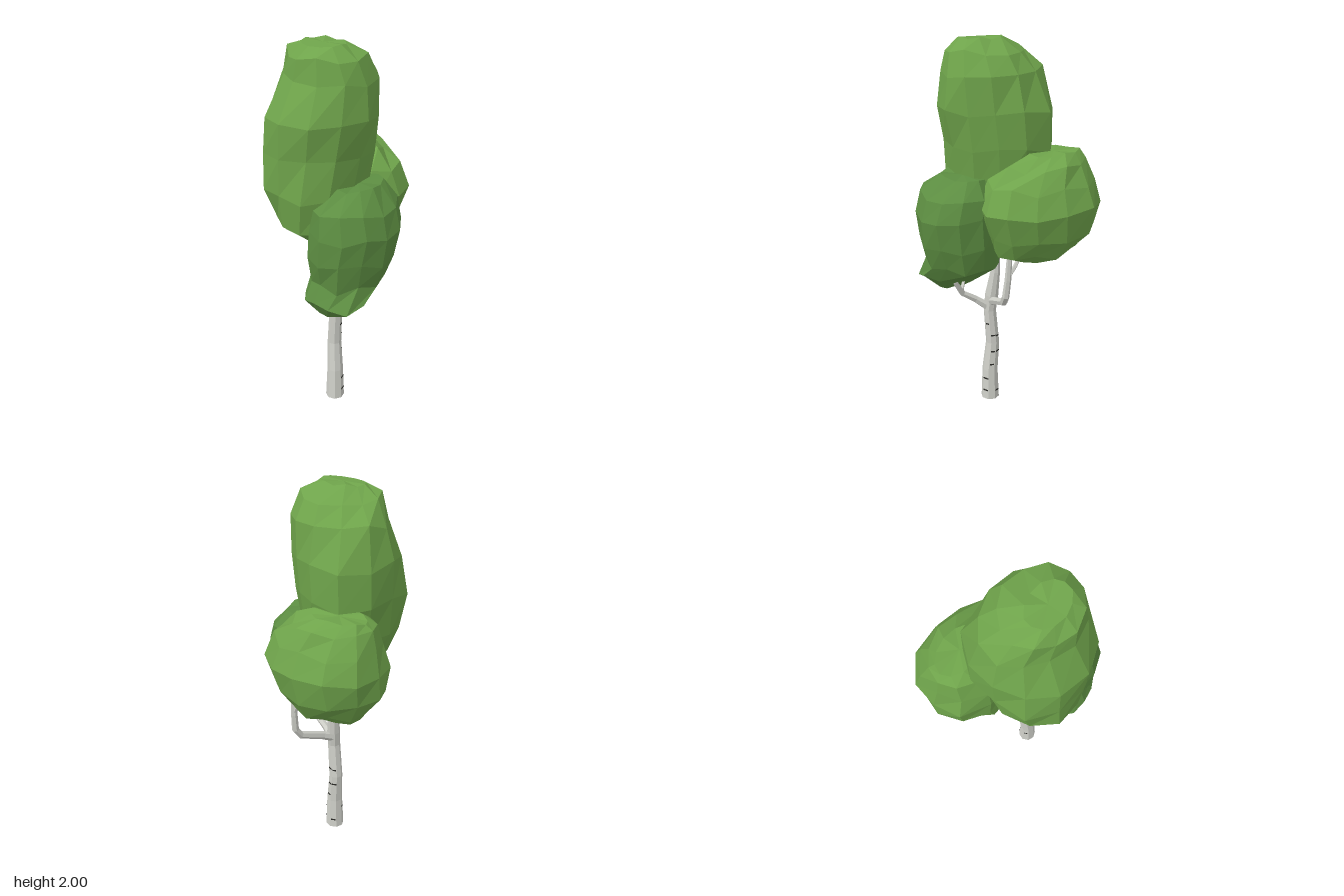
import * as THREE from 'three';

const mat = (name, color) => {
  const m = new THREE.MeshStandardMaterial({ color });
  m.name = name;
  return m;
};

// Small seeded random generator, -1..1
function makeRandom(seed) {
  let s = seed;
  return () => {
    s = (s * 16807) % 2147483647;
    return (s / 2147483647) * 2 - 1;
  };
}

// Closed faceted skin over a stack of rings, capped at both ends
function loft(rings) {
  const pos = [];
  const tri = (a, b, c) => [a, b, c].forEach((p) => pos.push(p.x, p.y, p.z));
  const n = rings[0].length;
  const middle = (ring) =>
    ring.reduce((s, p) => s.add(p), new THREE.Vector3()).divideScalar(n);
  for (let i = 0; i < rings.length - 1; i++) {
    for (let j = 0; j < n; j++) {
      const k = (j + 1) % n;
      const [a, b, c, d] = [rings[i][j], rings[i][k], rings[i + 1][j], rings[i + 1][k]];
      tri(a, c, b);
      tri(b, c, d);
    }
  }
  const low = rings[0], high = rings[rings.length - 1];
  const lowMid = middle(low), highMid = middle(high);
  for (let j = 0; j < n; j++) {
    const k = (j + 1) % n;
    tri(lowMid, low[j], low[k]);
    tri(highMid, high[k], high[j]);
  }
  const g = new THREE.BufferGeometry();
  g.setAttribute('position', new THREE.Float32BufferAttribute(pos, 3));
  g.computeVertexNormals();
  return g;
}

// Leaf mass: rows of [y, xMin, xMax, zMin, zMax], slightly uneven.
// Lumps of [x, y, z, push, reach] swell or dent the skin near a point.
function crown(rows, lumps, seed) {
  const rnd = makeRandom(seed);
  const sides = 12;
  return loft(rows.map(([y, x0, x1, z0, z1], i) => {
    const end = i === 0 || i === rows.length - 1;
    return Array.from({ length: sides }, (_, j) => {
      const a = (j / sides) * Math.PI * 2;
      const f = 1.01 + rnd() * 0.035;
      const out = new THREE.Vector3(Math.cos(a), 0, Math.sin(a));
      const p = new THREE.Vector3(
        (x0 + x1) / 2 + out.x * f * (x1 - x0) / 2,
        y + rnd() * (end ? 0.008 : 0.022),
        (z0 + z1) / 2 + out.z * f * (z1 - z0) / 2
      );
      let push = 0;
      for (const [lx, ly, lz, amount, reach] of lumps) {
        const d = Math.hypot(p.x - lx, p.y - ly, p.z - lz) / reach;
        push += amount * Math.exp(-d * d);
      }
      return p.addScaledVector(out, push);
    });
  }));
}

// Tapered limb through points of [x, y, z, radius]
const UP = new THREE.Vector3(0, 1, 0);
function limb(points, sides) {
  const v = points.map((p) => new THREE.Vector3(p[0], p[1], p[2]));
  return loft(points.map((p, i) => {
    const dir = v[Math.min(i + 1, v.length - 1)].clone().sub(v[Math.max(i - 1, 0)]).normalize();
    if (i === 0 && p[1] === 0) dir.copy(UP);
    const q = new THREE.Quaternion().setFromUnitVectors(UP, dir);
    return Array.from({ length: sides }, (_, j) => {
      const a = (j / sides) * Math.PI * 2;
      return new THREE.Vector3(Math.cos(a) * p[3], 0, Math.sin(a) * p[3]).applyQuaternion(q).add(v[i]);
    });
  }));
}

export function createModel() {
  const group = new THREE.Group();
  const bark = mat('pale bark', 0xd0d1ca);
  const barkMark = mat('dark bark marks', 0x2b2b28);
  const leaf = mat('leaf green', 0x6fa44b);
  const leafDark = mat('deep leaf green', 0x5d8e42);

  const add = (name, geometry, material) => {
    const m = new THREE.Mesh(geometry, material);
    m.name = name;
    group.add(m);
    return m;
  };

  // Trunk and the limbs that carry the three leaf masses
  const trunkPath = [
    [-0.107, 0, 0.012, 0.05], [-0.105, 0.18, 0.013, 0.043], [-0.097, 0.35, 0, 0.037],
    [-0.1, 0.55, 0.015, 0.034], [-0.088, 0.64, 0.01, 0.036],
    [-0.068, 0.78, 0, 0.026], [-0.075, 1.1, -0.01, 0.02],
  ];
  add('trunk', limb(trunkPath, 8), bark);
  add('leftBranch', limb([
    [-0.09, 0.6, 0.01, 0.026], [-0.02, 0.635, 0.035, 0.022], [0.12, 0.695, 0.075, 0.02],
    [0.152, 0.74, 0.085, 0.019], [0.165, 0.84, 0.08, 0.017], [0.175, 1.0, 0.075, 0.013],
  ], 6), bark);
  add('leftTwig', limb([
    [0.163, 0.85, 0.078, 0.012], [0.178, 0.91, 0.045, 0.011], [0.185, 1.0, 0.0, 0.009],
  ], 5), bark);
  add('frontBranch', limb([
    [-0.1, 0.56, 0.015, 0.025], [-0.125, 0.62, 0.09, 0.02], [-0.135, 0.67, 0.165, 0.016],
    [-0.125, 0.75, 0.215, 0.013], [-0.11, 0.86, 0.24, 0.011],
  ], 6), bark);
  add('frontTwig', limb([
    [-0.135, 0.68, 0.17, 0.01], [-0.16, 0.74, 0.14, 0.009], [-0.18, 0.82, 0.12, 0.007],
  ], 5), bark);

  // Thin dark marks lying on the trunk faces: [height, face, width]
  const marks = [
    [0.055, 1, 0.03], [0.13, 1, 0.032], [0.125, 5, 0.022], [0.22, 0, 0.022], [0.3, 7, 0.028],
    [0.3, 0, 0.022], [0.4, 0, 0.025], [0.395, 7, 0.02], [0.47, 1, 0.018], [0.05, 7, 0.026],
  ];
  for (const [y, face, width] of marks) {
    const i = trunkPath.findIndex((p) => p[1] > y);
    const a = trunkPath[i - 1], b = trunkPath[i];
    const t = (y - a[1]) / (b[1] - a[1]);
    const [cx, , cz, r] = a.map((value, k) => value + (b[k] - value) * t);
    const angle = ((face + 0.5) / 8) * Math.PI * 2;
    const d = r * Math.cos(Math.PI / 8);
    const m = add('barkMark', new THREE.BoxGeometry(width, 0.007, 0.005), barkMark);
    m.position.set(cx + Math.cos(angle) * d, y, cz + Math.sin(angle) * d);
    m.rotation.y = Math.PI / 2 - angle;
  }

  // Tall upper leaf mass
  add('upperCrown', crown([
    [0.96, -0.18, -0.03, -0.1, 0.05],
    [1.11, -0.365, 0.04, -0.22, 0.11],
    [1.28, -0.4, 0.11, -0.27, 0.18],
    [1.47, -0.4, 0.155, -0.3, 0.23],
    [1.66, -0.405, 0.17, -0.315, 0.275],
    [1.84, -0.325, 0.1, -0.27, 0.24],
    [1.945, -0.31, 0.03, -0.2, 0.2],
    [1.99, -0.25, -0.08, -0.11, 0.13],
  ], [
    [-0.34, 1.37, -0.24, 0.045, 0.17],
    [-0.28, 1.8, -0.22, -0.03, 0.15],
    [0.11, 1.6, 0.17, -0.05, 0.2],
    [-0.26, 1.6, 0.24, -0.035, 0.15],
    [-0.33, 1.13, 0.13, 0.05, 0.14],
    [0.13, 1.53, -0.21, 0.035, 0.15],
    [0.06, 1.9, 0.07, 0.03, 0.12],
  ], 71), leaf);

  // Leaf mass on the left branch
  add('leftCrown', crown([
    [0.905, -0.02, 0.22, -0.28, 0.0],
    [0.965, -0.05, 0.31, -0.33, 0.11],
    [1.07, -0.07, 0.37, -0.4, 0.165],
    [1.21, -0.075, 0.4, -0.405, 0.21],
    [1.32, -0.06, 0.36, -0.38, 0.16],
    [1.41, -0.01, 0.31, -0.365, 0.06],
    [1.46, 0.07, 0.25, -0.34, -0.05],
  ], [
    [0.33, 1.22, -0.35, 0.045, 0.16],
    [-0.02, 1.18, -0.36, 0.04, 0.16],
    [-0.03, 0.92, -0.2, 0.04, 0.1],
    [0.28, 1.1, 0.16, -0.02, 0.12],
  ], 4242), leaf);

  // Low leaf mass at the front
  add('frontCrown', crown([
    [0.685, -0.315, -0.19, 0.03, 0.22],
    [0.77, -0.375, -0.08, -0.01, 0.31],
    [0.86, -0.335, 0.055, -0.03, 0.34],
    [0.99, -0.37, 0.09, -0.04, 0.39],
    [1.14, -0.36, 0.1, -0.04, 0.415],
    [1.25, -0.345, 0.095, -0.02, 0.37],
    [1.34, -0.24, 0.04, 0.07, 0.27],
  ], [
    [-0.27, 0.77, 0.3, 0.045, 0.09],
    [-0.25, 1.1, 0.38, -0.03, 0.13],
    [0.03, 1.05, 0.36, -0.015, 0.12],
    [-0.33, 1.16, 0.3, 0.02, 0.1],
  ], 909), leafDark);

  return group;
}
